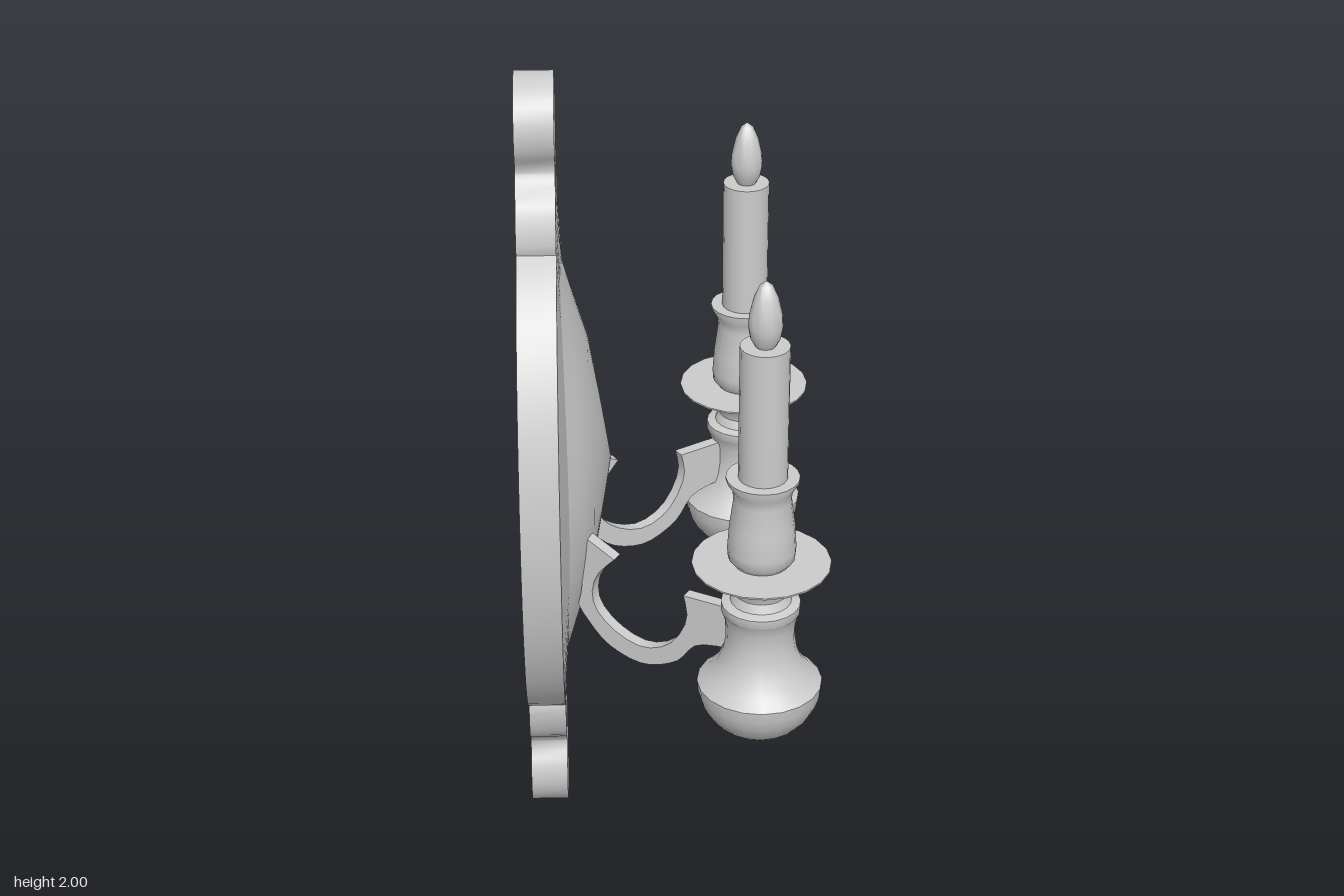
import * as THREE from 'three';
import { toCreasedNormals } from 'three/addons/utils/BufferGeometryUtils.js';

const material = new THREE.MeshStandardMaterial({ color: 0xcccccc });
const V = (x, y) => new THREE.Vector2(x, y);

function part(name, geometry, crease = 0.7) {
  const mesh = new THREE.Mesh(toCreasedNormals(geometry, crease), material);
  mesh.name = name;
  return mesh;
}

const lathe = (name, points, sides = 20) =>
  part(name, new THREE.LatheGeometry(points.map(([r, y]) => V(r, y)), sides));

// Teardrop hole: round at the outer end, pointed toward the plate centre
function teardrop(x, y, r, tipX, tipY) {
  const axis = Math.atan2(tipY - y, tipX - x);
  const pts = [V(tipX, tipY)];
  for (let i = 0; i <= 12; i++) {
    const a = axis + 1.15 + (i / 12) * (Math.PI * 2 - 2.3);
    pts.push(V(x + r * Math.cos(a), y + r * Math.sin(a)));
  }
  return pts;
}

const HALF_W = 0.463, HALF_H = 0.66;

// Oval plate with a pierced crest and round knob at both ends (centred on its middle)
function backPlate() {
  const quarter = [];
  for (let i = 0; i <= 16; i++) {
    const a = (i / 16) * 1.22;
    quarter.push(V(HALF_W * Math.cos(a), HALF_H * Math.sin(a)));
  }
  const lobe = new THREE.SplineCurve([V(0.163, 0.635), V(0.158, 0.675), V(0.135, 0.73), V(0.09, 0.768), V(0.077, 0.79)]);
  quarter.push(...lobe.getPoints(10));
  for (let i = 0; i <= 12; i++) {
    const a = -0.72 + (i / 12) * (Math.PI / 2 + 0.72);
    quarter.push(V(0.112 * Math.cos(a), 0.888 + 0.112 * Math.sin(a)));
  }
  const mirror = (sx, sy) => quarter.map(p => V(p.x * sx, p.y * sy));
  const shape = new THREE.Shape([
    ...quarter,
    ...mirror(-1, 1).reverse().slice(1),
    ...mirror(-1, -1).slice(1),
    ...mirror(1, -1).reverse().slice(1, -1),
  ]);
  const holes = [
    teardrop(0, 0.75, 0.048, 0, 0.665),
    teardrop(0.1, 0.698, 0.028, 0.068, 0.662),
    teardrop(-0.1, 0.698, 0.028, -0.068, 0.662),
  ];
  for (const h of holes) {
    shape.holes.push(new THREE.Path(h), new THREE.Path(h.map(p => V(p.x, -p.y))));
  }
  const geo = new THREE.ExtrudeGeometry(shape, { depth: 0.092, bevelEnabled: false });
  geo.rotateY(Math.PI / 2);
  const mesh = part('backPlate', geo, 1.2);
  mesh.position.x = -0.358;
  return mesh;
}

// Oval surface from rings: half-width, half-height, projection at the sides and at the ends
function ovalSurface(name, rings) {
  const sides = 48;
  const geo = new THREE.LatheGeometry(rings.map(r => V(r[0], r[2])), sides);
  const pos = geo.attributes.position;
  for (let i = 0; i < pos.count; i++) {
    const [w, h, atSide, atEnd] = rings[i % rings.length];
    const a = (Math.floor(i / rings.length) / sides) * Math.PI * 2;
    const c = Math.cos(a), s = Math.sin(a);
    pos.setXYZ(i, atSide * s * s + atEnd * c * c, h * c, w * s);
  }
  return part(name, geo, 0.8);
}

const BOSS_EDGE = [0.305, 0.52, -0.247, -0.261];

// Flat scrolled arm, drawn with its origin on the candle axis
const ARM_ANGLE = 0.53;
const AXIS_X = 0.197;
function arm() {
  const s = x => (x - AXIS_X) / Math.cos(ARM_ANGLE);
  const curve = pts => new THREE.SplineCurve(pts.map(([x, y]) => V(s(x), y))).getPoints(18);
  const inner = curve([[-0.135, 0.865], [-0.18, 0.8], [-0.185, 0.725], [-0.14, 0.668],
    [-0.07, 0.642], [-0.005, 0.675], [0.034, 0.755], [0.027, 0.822]]);
  const outer = curve([[0.15, 0.715], [0.06, 0.695], [0.01, 0.63], [-0.07, 0.594],
    [-0.155, 0.622], [-0.212, 0.69]]);
  const back = curve([[-0.222, 0.71], [-0.213, 0.78], [-0.233, 0.835], [-0.2, 0.902]]);
  const shape = new THREE.Shape([...inner, V(s(0.15), 0.825), ...outer, ...back]);
  const geo = new THREE.ExtrudeGeometry(shape, { depth: 0.03, bevelEnabled: false });
  geo.translate(0, 0, -0.015);
  return part('arm', geo, 0.6);
}

// One arm with its turned holder, candle and flame bulb
function candleBranch(side) {
  const g = new THREE.Group();
  g.name = side > 0 ? 'leftBranch' : 'rightBranch';

  const bowl = [];
  for (let i = 0; i <= 8; i++) {
    const a = (i / 8) * Math.PI / 2;
    bowl.push([0.148 * Math.sin(a), 0.642 - 0.145 * Math.cos(a)]);
  }
  g.add(lathe('bowl', bowl));
  g.add(lathe('holderNeck', [[0.148, 0.642], [0.124, 0.664], [0.102, 0.694], [0.087, 0.73],
    [0.081, 0.77], [0.083, 0.81], [0.09, 0.836], [0.093, 0.84], [0.093, 0.862],
    [0.072, 0.868], [0.062, 0.89]]));
  g.add(lathe('dripPan', [[0.062, 0.885], [0.065, 0.908], [0.085, 0.93], [0.12, 0.95],
    [0.162, 0.966], [0.162, 0.97], [0, 0.97]]));
  g.add(lathe('candleCup', [[0.064, 0.968], [0.078, 0.985], [0.08, 1.01], [0.076, 1.07],
    [0.067, 1.14], [0.07, 1.165], [0.085, 1.19], [0.085, 1.197], [0, 1.197]]));
  g.add(lathe('candle', [[0.057, 1.19], [0.057, 1.532], [0, 1.532]]));
  g.add(lathe('flameBulb', [[0.022, 1.53], [0.034, 1.552], [0.039, 1.58], [0.037, 1.61],
    [0.028, 1.65], [0.015, 1.68], [0, 1.692]]));

  const bracket = arm();
  bracket.rotation.y = -side * ARM_ANGLE;
  g.add(bracket);
  g.position.set(AXIS_X, 0, side * 0.432);
  return g;
}

export function createModel() {
  const model = new THREE.Group();
  model.name = 'wallSconce';
  const plate = new THREE.Group();
  plate.name = 'plate';
  plate.add(
    backPlate(),
    ovalSurface('plateRim', [[HALF_W, HALF_H, -0.266, -0.266], BOSS_EDGE]),
    ovalSurface('boss', [BOSS_EDGE, [0.254, 0.43, -0.214, -0.236],
      [0.2, 0.315, -0.188, -0.2], [0.1, 0.155, -0.167, -0.171], [0, 0, -0.146, -0.146]]),
  );
  plate.position.set(0, 1, -0.012);
  model.add(plate, candleBranch(1), candleBranch(-1));
  return model;
}
